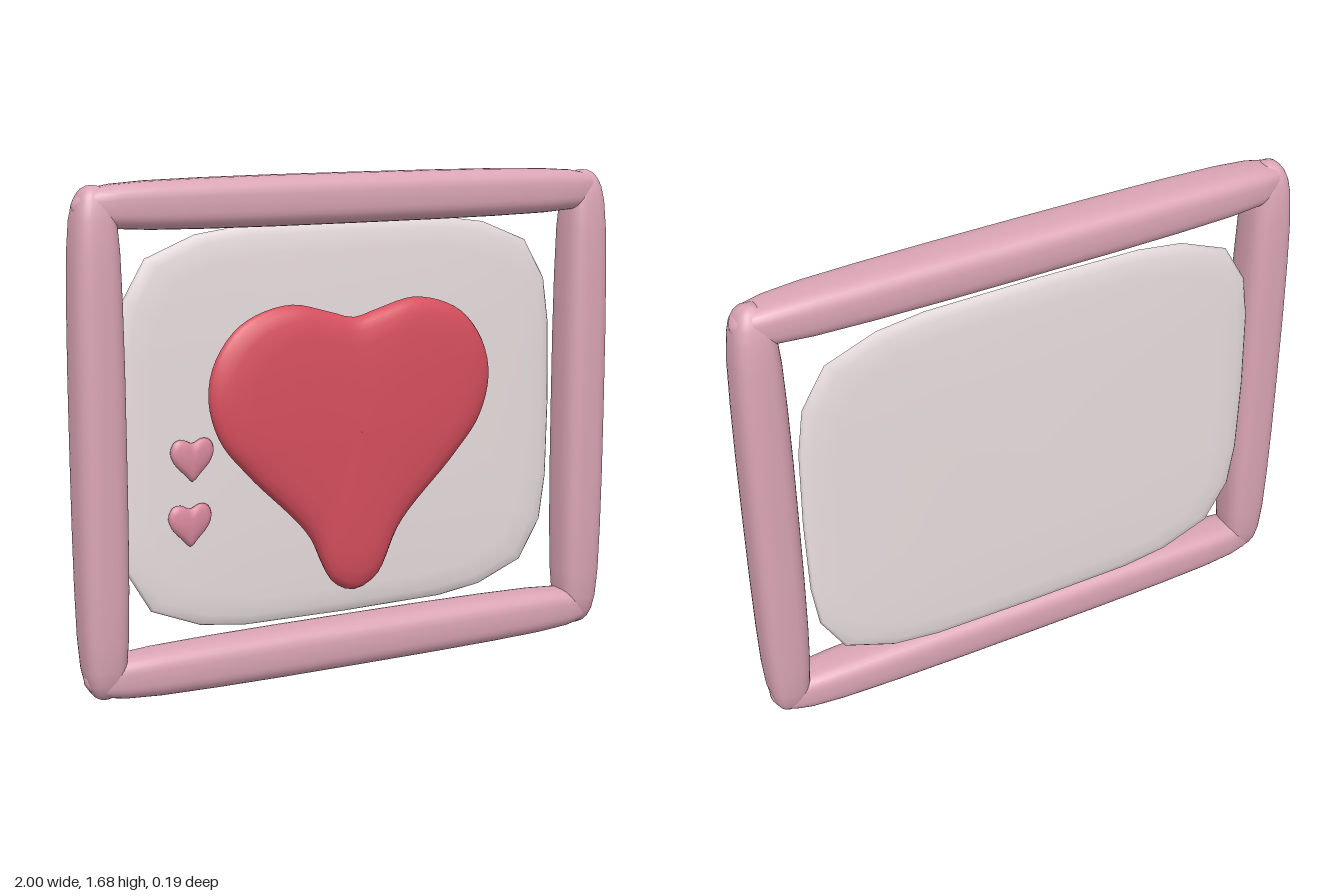
import * as THREE from 'three';

const mat = (color) => new THREE.MeshStandardMaterial({ color, roughness: 0.7 });

// Skin over equal-length, counter-clockwise rings stacked from -z to +z
function loft(rings) {
  const n = rings[0].length, index = [];
  for (let i = 0; i < rings.length - 1; i++) {
    for (let j = 0; j < n; j++) {
      const a = i * n + j, b = i * n + (j + 1) % n;
      index.push(a, b, b + n, a, b + n, a + n);
    }
  }
  const geo = new THREE.BufferGeometry();
  geo.setAttribute('position', new THREE.Float32BufferAttribute(rings.flat(2), 3));
  geo.setIndex(index);
  geo.computeVertexNormals();
  return geo;
}

// Puffy shape: the outline scaled about the origin by each [scale, z] pair
const pillow = (outline, profile) =>
  loft(profile.map(([s, z]) => outline.map(([x, y]) => [x * s, y * s, z])));

// Full smooth outline from the right half, listed from bottom to top
function heartOutline(half, count) {
  const right = half.map(([x, y]) => new THREE.Vector3(x, y, 0));
  const left = half.slice(1, -1).reverse().map(([x, y]) => new THREE.Vector3(-x, y, 0));
  const curve = new THREE.CatmullRomCurve3([...right, ...left], true);
  return curve.getSpacedPoints(count).slice(0, -1).map((p) => [p.x, p.y]);
}

// Inflated bar along z with a rounded-square section and tapering ends
function barGeometry(halfLength, halfX, halfY) {
  const taper = [[0, 1], [0.3, 0.995], [0.55, 0.97], [0.75, 0.92], [0.87, 0.83],
    [0.93, 0.71], [0.965, 0.56], [0.985, 0.4], [0.997, 0.2], [1, 0.001]];
  const stations = [
    ...taper.slice(1).reverse().map(([t, s]) => [-t, s]),
    ...taper,
  ];
  const power = (v) => Math.sign(v) * Math.abs(v) ** 0.68;
  return loft(stations.map(([t, s]) => Array.from({ length: 32 }, (_, k) => {
    const a = (k / 32) * Math.PI * 2;
    return [halfX * s * power(Math.cos(a)), halfY * s * power(Math.sin(a)), t * halfLength];
  })));
}

export function createModel() {
  const model = new THREE.Group();
  const add = (name, geo, material, x, y, z = 0, parent = model) => {
    const mesh = new THREE.Mesh(geo, material);
    mesh.name = name;
    mesh.position.set(x, y, z);
    parent.add(mesh);
    return mesh;
  };

  // Frame of four bars
  const frame = new THREE.Group();
  frame.name = 'frame';
  model.add(frame);
  const pink = mat(0xdba5b5);
  const rail = barGeometry(0.98, 0.09, 0.083);
  const post = barGeometry(0.825, 0.083, 0.09);
  add('topRail', rail, pink, 0, 1.6, 0, frame).rotation.y = Math.PI / 2;
  add('bottomRail', rail, pink, 0, 0.086, 0, frame).rotation.y = Math.PI / 2;
  add('leftPost', post, pink, 0.915, 0.843, 0, frame).rotation.x = -Math.PI / 2;
  add('rightPost', post, pink, -0.915, 0.843, 0, frame).rotation.x = -Math.PI / 2;

  // Backing panel with coarse rounded corners, set toward the rear
  const corner = [[0.832, 0], [0.826, 0.28], [0.803, 0.44], [0.72, 0.58],
    [0.545, 0.65], [0.38, 0.672], [0, 0.676]];
  const upper = [...corner, ...corner.slice(0, -1).reverse().map(([x, y]) => [-x, y])];
  const panelOutline = [...upper, ...upper.slice(1, -1).map(([x, y]) => [-x, -y])];
  add('backPanel', pillow(panelOutline, [
    [0.001, -0.096], [0.5, -0.095], [0.86, -0.091], [0.95, -0.084], [0.99, -0.075], [1, -0.067],
    [0.99, -0.059], [0.95, -0.05], [0.86, -0.043], [0.5, -0.037], [0.001, -0.035],
  ]), mat(0xeadfe0), 0, 0.845);

  // Large puffy heart
  const bigHalf = [[0, -0.558], [0.082, -0.52], [0.176, -0.344], [0.39, -0.125], [0.495, 0.005],
    [0.534, 0.15], [0.505, 0.275], [0.41, 0.385], [0.24, 0.437], [0.09, 0.405], [0, 0.382]];
  add('largeHeart', pillow(heartOutline(bigHalf, 96), [
    [0.001, -0.06], [0.8, -0.055], [0.93, -0.038], [0.98, -0.02], [1, 0],
    [0.985, 0.016], [0.95, 0.029], [0.88, 0.041], [0.75, 0.05], [0.45, 0.056], [0.001, 0.058],
  ]), mat(0xd9505f), 0, 0.82);

  // Two small hearts beside it
  const smallHalf = [[0, -0.073], [0.022, -0.052], [0.066, -0.004], [0.077, 0.032],
    [0.062, 0.064], [0.034, 0.07], [0, 0.056]];
  const smallHeart = pillow(heartOutline(smallHalf, 40), [
    [0.001, -0.022], [0.85, -0.018], [1, 0], [0.94, 0.009], [0.75, 0.016], [0.4, 0.019], [0.001, 0.02],
  ]);
  const rose = mat(0xd98a9e);
  add('upperSmallHeart', smallHeart, rose, -0.583, 0.768, -0.025);
  add('lowerSmallHeart', smallHeart, rose, -0.594, 0.551, -0.025);

  return model;
}
